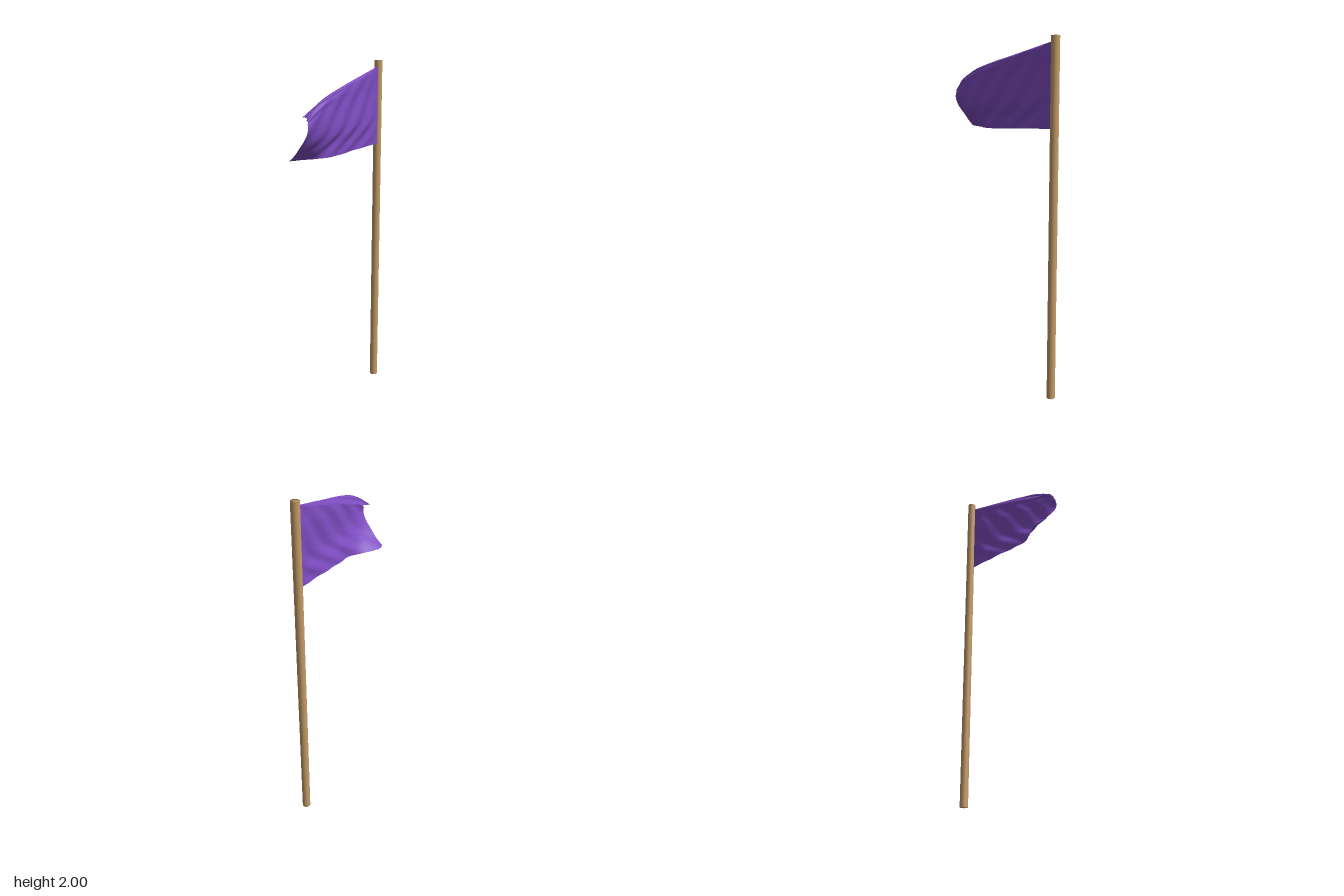
import * as THREE from 'three';
import { mergeVertices } from 'three/addons/utils/BufferGeometryUtils.js';

const curve = (points) =>
  new THREE.CatmullRomCurve3(points.map((p) => new THREE.Vector3(...p)), false, 'centripetal');

// Guide curves running from the pole to the free edge, listed from the folded hem down
const rows = [
  // hem folded over to the back
  [[0.243, 1.96, -0.26], [0.1, 1.89, -0.092], [0, 1.84, 0.033], [-0.09, 1.79, 0.14], [-0.2, 1.735, 0.252]],
  // top of the fold
  [[0.243, 1.968, -0.26], [0.1, 1.91, -0.07], [0, 1.868, 0.07], [-0.08, 1.83, 0.17], [-0.14, 1.785, 0.235], [-0.188, 1.742, 0.27]],
  // outer shoulder of the fold
  [[0.243, 1.955, -0.26], [0.155, 1.922, -0.127], [0.1, 1.896, -0.05], [0, 1.852, 0.09], [-0.05, 1.828, 0.152], [-0.1, 1.798, 0.212],
    [-0.14, 1.765, 0.258], [-0.175, 1.72, 0.29]],
  [[0.243, 1.85, -0.26], [0.1, 1.8, -0.052], [0, 1.77, 0.088], [-0.09, 1.73, 0.203], [-0.172, 1.685, 0.3]],
  [[0.243, 1.68, -0.26], [0.11, 1.66, -0.067], [0, 1.64, 0.077], [-0.1, 1.625, 0.193], [-0.195, 1.615, 0.28]],
  [[0.243, 1.59, -0.26], [0.1, 1.58, -0.08], [0, 1.57, 0.045], [-0.12, 1.56, 0.165], [-0.235, 1.55, 0.24]],
  // bottom edge, curling back at the free corner
  [[0.243, 1.52, -0.26], [0.1, 1.512, -0.092], [0, 1.503, 0.027], [-0.05, 1.502, 0.088], [-0.14, 1.5, 0.136],
    [-0.21, 1.5, 0.157], [-0.255, 1.5, 0.187], [-0.27, 1.504, 0.213]],
].map(curve);

// Cloth sheet lofted across the guide curves, with diagonal ripples
function createCloth() {
  const nu = 100, nv = 90;
  const geometry = new THREE.PlaneGeometry(1, 1, nu, nv);
  const position = geometry.attributes.position;
  const out = new THREE.Vector3(0.77, 0, 0.64);
  for (let i = 0; i <= nu; i++) {
    const u = i / nu;
    const section = curve(rows.map((r) => r.getPointAt(u).toArray()));
    for (let j = 0; j <= nv; j++) {
      const v = j / nv;
      const p = section.getPoint(v);
      const body = THREE.MathUtils.smoothstep(v, 0.3, 0.5);
      const fade = 1 - 0.6 * THREE.MathUtils.smoothstep(u, 0.6, 1);
      const calm = 1 - 0.5 * THREE.MathUtils.smoothstep(v, 0.75, 1);
      const diagonal = u - 0.85 * v;
      let ripple = 0.0055 * body * fade * calm * Math.sin(diagonal * 28 + 0.6 + 0.8 * Math.sin(v * 3 + u * 4));
      // gathers along the hem, deepening towards the free edge
      ripple += 0.005 * (1 - body) * u * u * Math.sin(v * 60 + u * 5);
      p.addScaledVector(out, ripple * Math.min(1, u * 6));
      // columns run from the free edge to the pole so the sheet faces outward
      position.setXYZ(j * (nu + 1) + nu - i, p.x, p.y, p.z);
    }
  }
  geometry.computeVertexNormals();
  return geometry;
}

// Cylinder whose caps share smooth normals with the side
function createPole() {
  const geometry = new THREE.CylinderGeometry(0.0235, 0.0235, 2, 24);
  geometry.deleteAttribute('normal');
  geometry.deleteAttribute('uv');
  const welded = mergeVertices(geometry);
  welded.computeVertexNormals();
  return welded;
}

export function createModel() {
  const group = new THREE.Group();

  // Pole
  const pole = new THREE.Mesh(createPole(), new THREE.MeshStandardMaterial({ color: 0xc39c68 }));
  pole.name = 'pole';
  pole.position.set(0.245, 1, -0.281);
  group.add(pole);

  // Flag
  const flag = new THREE.Mesh(
    createCloth(),
    new THREE.MeshStandardMaterial({ color: 0x7d4cc0, side: THREE.DoubleSide })
  );
  flag.name = 'flag';
  group.add(flag);

  return group;
}
